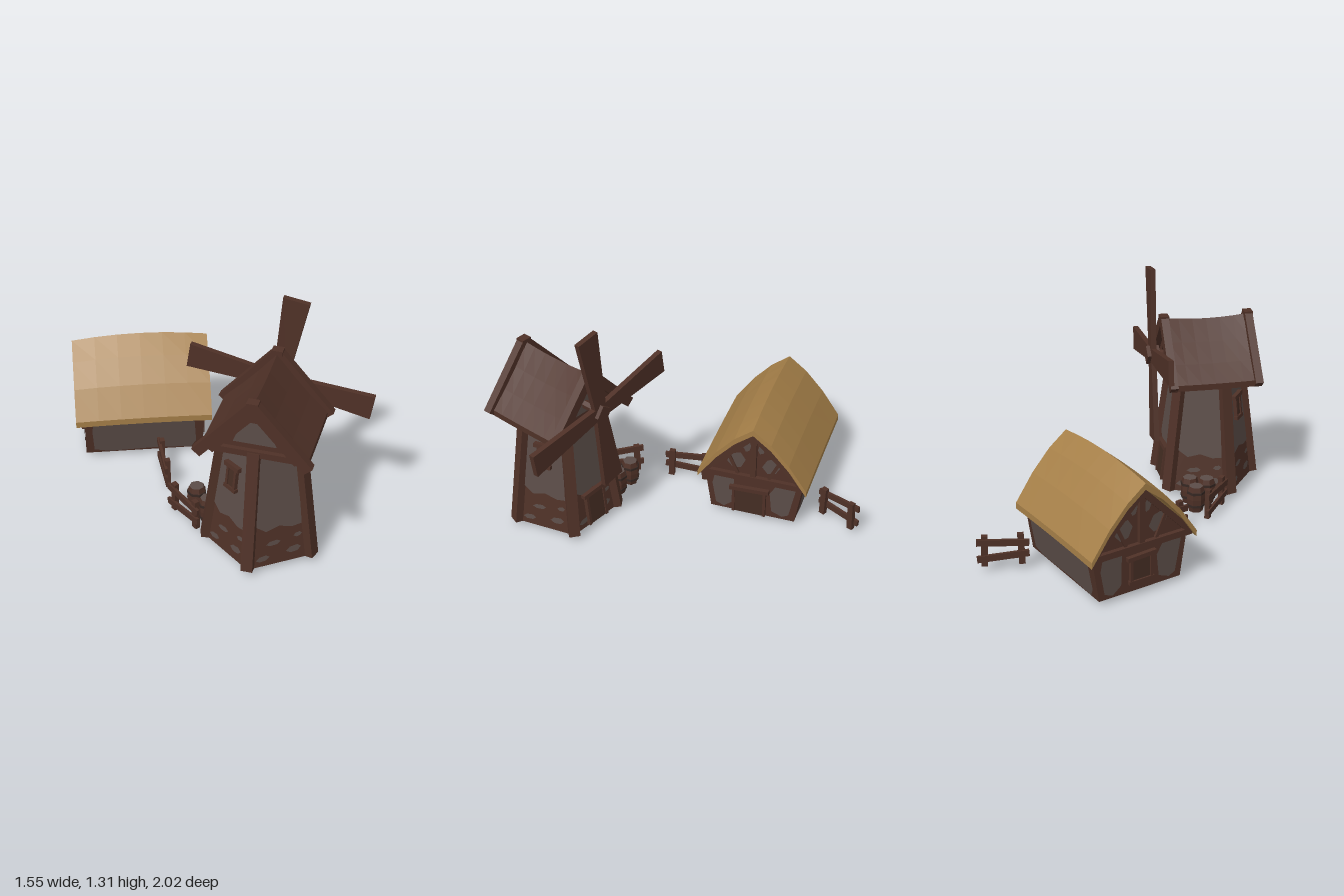
import * as THREE from 'three';

const mat = (name, color, side = THREE.FrontSide) => {
  const m = new THREE.MeshStandardMaterial({ color, flatShading: true, side });
  m.name = name;
  return m;
};

export function createModel() {
  const wood = mat('timber', 0x4f3127);
  const wallWood = mat('wall timber', 0x4f3127, THREE.DoubleSide);
  const plaster = mat('plaster', 0x5b4d48, THREE.DoubleSide);
  const shutter = mat('shutter wood', 0x452d23);
  const thatch = mat('thatch', 0xa57f48);
  const iron = mat('barrel band', 0x362823);

  const add = (parent, name, geo, material, x = 0, y = 0, z = 0) => {
    const m = new THREE.Mesh(geo, material);
    m.name = name;
    m.position.set(x, y, z);
    parent.add(m);
    return m;
  };
  const group = (parent, name, x = 0, y = 0, z = 0, ry = 0) => {
    const g = new THREE.Group();
    g.name = name;
    g.position.set(x, y, z);
    g.rotation.y = ry;
    parent.add(g);
    return g;
  };
  const box = (parent, name, w, h, d, x, y, z, material = wood) =>
    add(parent, name, new THREE.BoxGeometry(w, h, d), material, x, y, z);

  // Beam between two points of an upright plane at depth z
  const beam = (parent, name, a, b, width, depth, z) => {
    const dx = b[0] - a[0], dy = b[1] - a[1];
    const m = box(parent, name, Math.hypot(dx, dy), width, depth, (a[0] + b[0]) / 2, (a[1] + b[1]) / 2, z);
    m.rotation.z = Math.atan2(dy, dx);
    return m;
  };

  // Flat polygon laid on a wall quad; points are (across, up) from 0 to 1
  const plate = (parent, name, [bl, br, tl, tr], pts, material, lift = 0) => {
    const geo = new THREE.ShapeGeometry(new THREE.Shape(pts.map(p => new THREE.Vector2(...p))));
    const n = br.clone().sub(bl).cross(tl.clone().sub(bl)).normalize();
    const pos = geo.attributes.position;
    for (let i = 0; i < pos.count; i++) {
      const u = pos.getX(i), v = pos.getY(i);
      const p = bl.clone().lerp(br, u).lerp(tl.clone().lerp(tr, u), v).addScaledVector(n, lift);
      pos.setXYZ(i, p.x, p.y, p.z);
    }
    geo.computeVertexNormals();
    return add(parent, name, geo, material);
  };
  const blob = (cx, cy, rx, ry) => [[-1, -0.3], [-0.4, -1], [0.5, -0.8], [1, 0.2], [0.5, 1], [-0.5, 0.7]]
    .map(([x, y]) => [cx + x * rx, cy + y * ry]);

  // Gabled roof: a box bent over the ridge, which runs along z
  const gableRoof = (parent, name, material, { half, length, eave, ridge, thick, bulge, endLift }) => {
    const geo = new THREE.BoxGeometry(2, thick, length, 6, 1, 6);
    const pos = geo.attributes.position;
    for (let i = 0; i < pos.count; i++) {
      const x = pos.getX(i), z = pos.getZ(i), s = Math.abs(x), e = (2 * z / length) ** 2;
      const y = ridge + (eave - ridge) * s + bulge * Math.sin(Math.PI * s) + endLift * e * (1 - s * 0.8);
      pos.setXYZ(i, x * half, y + pos.getY(i) - thick / 2, z);
    }
    geo.computeVertexNormals();
    return add(parent, name, geo, material);
  };

  // Framed door or window facing +z, centred on its own origin
  const opening = (parent, name, w, h, sill) => {
    const g = group(parent, name);
    box(g, 'panel', w, h, 0.02, 0, 0, 0, shutter);
    for (const s of [-1, 1]) box(g, 'jamb', 0.016, h, 0.034, s * w / 2, 0, 0);
    box(g, 'lintel', w + 0.05, 0.024, 0.044, 0, h / 2, 0).rotation.z = 0.04;
    if (sill) box(g, 'sill', w + 0.03, 0.02, 0.04, 0, -h / 2, 0);
    return g;
  };

  const model = new THREE.Group();
  model.name = 'windmill farm';

  // ---- Windmill: five-sided tower, sails on local +z ----
  const mill = group(model, 'windmill', 0.185, 0, 0.65, Math.PI - 0.385);
  const STEP = Math.PI * 2 / 5, Y0 = 0.027, Y1 = 0.72, R0 = 0.308, R1 = 0.212;
  add(mill, 'towerWall', new THREE.CylinderGeometry(R1, R0, Y1 - Y0, 5, 1, true, STEP / 2), wallWood, 0, (Y0 + Y1) / 2);
  const ring = (r, y, a) => new THREE.Vector3(Math.sin(a) * r, y, Math.cos(a) * r);
  const lean = Math.atan((R0 - R1) / (Y1 - Y0));
  const faceLean = Math.atan((R0 - R1) * Math.cos(STEP / 2) / (Y1 - Y0));
  const upperPanel = [[0.1, 0.36], [0.28, 0.3], [0.5, 0.33], [0.72, 0.3], [0.88, 0.31],
    [0.9, 0.9], [0.82, 0.97], [0.2, 0.97], [0.12, 0.9]];
  for (let k = 0; k < 5; k++) {
    const a = (k - 0.5) * STEP, b = a + STEP;
    const quad = [ring(R0, Y0, a), ring(R0, Y0, b), ring(R1, Y1, a), ring(R1, Y1, b)];
    plate(mill, 'upperPlaster', quad, upperPanel, plaster, 0.004);
    for (const [x, y, w, h] of [[0.23, 0.07, 0.11, 0.025], [0.72, 0.1, 0.12, 0.03], [0.4, 0.19, 0.12, 0.022], [0.8, 0.22, 0.07, 0.02]])
      plate(mill, 'plasterPatch', quad, blob(x, y, w, h), plaster, 0.004);
    const corner = group(mill, 'cornerPost', 0, 0, 0, a);
    box(corner, 'post', 0.062, 0.695, 0.05, 0, (Y0 + Y1) / 2, (R0 + R1) / 2 - 0.004).rotation.x = -lean;
  }
  const onFace = (k, y, item) => {
    const t = (y - Y0) / (Y1 - Y0);
    const holder = group(mill, item.name + 'Holder', 0, 0, 0, k * STEP);
    item.position.set(0, y, (R0 + (R1 - R0) * t) * Math.cos(STEP / 2) + 0.008);
    item.rotation.x = -faceLean;
    holder.add(item);
  };
  onFace(0, 0.14, opening(mill, 'millDoor', 0.13, 0.2, false));
  for (const k of [2, 4]) onFace(k, 0.505, opening(mill, 'millWindow', 0.06, 0.13, true));

  // Mill roof with gable ends and bargeboards
  gableRoof(mill, 'millRoof', wood, { half: 0.275, length: 0.48, eave: 0.715, ridge: 1.01, thick: 0.035, bulge: -0.012, endLift: 0.015 });
  const tri = new THREE.Shape([[-0.235, 0.7], [0.235, 0.7], [0, 0.975]].map(p => new THREE.Vector2(...p)));
  add(mill, 'gableBlock', new THREE.ExtrudeGeometry(tri, { depth: 0.4, bevelEnabled: false }), wood, 0, 0, -0.2);
  for (const e of [-1, 1]) {
    const end = group(mill, 'gableEnd', 0, 0, 0, e < 0 ? Math.PI : 0);
    const quad = [[-0.2, 0.7], [0.2, 0.7], [-0.2, 1], [0.2, 1]].map(p => new THREE.Vector3(...p, 0.2));
    plate(end, 'gablePlaster', quad, [[0.22, 0.2], [0.78, 0.2], [0.74, 0.34], [0.58, 0.62], [0.42, 0.62], [0.26, 0.34]], plaster, 0.004);
    beam(end, 'tieBeam', [-0.23, 0.712], [0.23, 0.712], 0.035, 0.03, 0.21);
    for (const s of [-1, 1]) {
      beam(end, 'rafter', [s * 0.225, 0.7], [0, 0.955], 0.04, 0.03, 0.215);
      beam(end, 'bargeboard', [s * 0.287, 0.695], [s * 0.008, 1.015], 0.056, 0.045, 0.245);
    }
    box(end, 'ridgeCap', 0.06, 0.05, 0.05, 0, 1.018, 0.245);
  }

  // Sails
  const sails = group(mill, 'sails', 0, 0.81, 0.31);
  sails.rotation.z = 0.15;
  add(sails, 'axle', new THREE.CylinderGeometry(0.025, 0.025, 0.2, 6).rotateX(Math.PI / 2), wood, 0, 0, -0.08);
  box(sails, 'hub', 0.075, 0.075, 0.075, 0, 0, 0).rotation.z = Math.PI / 4;
  const sailShape = new THREE.Shape([[-0.038, 0], [0.038, 0], [0.07, 0.5], [-0.07, 0.5]].map(p => new THREE.Vector2(...p)));
  for (let i = 0; i < 4; i++) {
    const blade = add(sails, 'sail', new THREE.ExtrudeGeometry(sailShape, { depth: 0.03, bevelEnabled: false }), wood, 0, 0, -0.015);
    blade.rotation.z = i * Math.PI / 2;
  }

  // ---- Cottage: ridge on local z, door on local +z ----
  const cottage = group(model, 'cottage', -0.395, 0, -0.4, Math.PI / 2);
  const B = 0.245, T = 0.288, D = 0.338, TOP = 0.305;
  const v = (x, y, z) => new THREE.Vector3(x, y, z);
  for (const s of [-1, 1]) {
    // Long wall
    const side = group(cottage, 'longWall', 0, 0, 0, s > 0 ? 0 : Math.PI);
    const long = [v(B, Y0, D), v(B, Y0, -D), v(T, TOP, D), v(T, TOP, -D)];
    plate(side, 'wall', long, [[0, 0], [1, 0], [1, 1], [0, 1]], wallWood);
    plate(side, 'wallPlaster', long, [[0.07, 0.1], [0.2, 0.03], [0.6, 0.06], [0.9, 0.03], [0.94, 0.2], [0.92, 0.95], [0.08, 0.97], [0.06, 0.6]], plaster, 0.004);
    // Gable wall with timber framing
    const end = group(cottage, 'gableWall', 0, 0, 0, s > 0 ? 0 : Math.PI);
    const quad = [v(-B, Y0, D), v(B, Y0, D), v(-T, TOP, D), v(T, TOP, D)];
    plate(end, 'wall', quad, [[0, 0], [1, 0], [1, 1], [0.5, 2.1], [0, 1]], wallWood);
    plate(end, 'plasterLeft', quad, [[0.07, 0.12], [0.16, 0.05], [0.27, 0.2], [0.29, 0.6], [0.3, 0.82], [0.1, 0.84], [0.06, 0.6]], plaster, 0.004);
    plate(end, 'plasterRight', quad, [[0.72, 0.16], [0.85, 0.07], [0.92, 0.14], [0.94, 0.8], [0.74, 0.84], [0.68, 0.6]], plaster, 0.004);
    for (const m of [-1, 1]) {
      plate(end, 'gablePlaster', quad, blob(0.5 + m * 0.17, 1.3, 0.09, 0.2), plaster, 0.004);
      plate(end, 'gablePlasterTop', quad, blob(0.5 + m * 0.065, 1.68, 0.035, 0.13), plaster, 0.004);
      beam(end, 'rafter', [m * 0.29, 0.29], [0, 0.585], 0.035, 0.03, D + 0.01);
      beam(end, 'brace', [m * 0.09, 0.3], [m * 0.15, 0.43], 0.018, 0.014, D + 0.006);
    }
    beam(end, 'tieBeam', [-0.3, 0.283], [0.3, 0.283], 0.035, 0.03, D + 0.01);
    beam(end, 'kingPost', [0, 0.29], [0, 0.59], 0.032, 0.025, D + 0.008);
    if (s > 0) opening(end, 'cottageDoor', 0.18, 0.17, false).position.set(-0.02, 0.117, D + 0.004);
    else opening(end, 'cottageWindow', 0.12, 0.14, true).position.set(0, 0.155, D + 0.002);
  }
  gableRoof(cottage, 'thatchRoof', thatch, { half: 0.314, length: 0.77, eave: 0.298, ridge: 0.67, thick: 0.036, bulge: 0.04, endLift: -0.028 });

  // ---- Fences ----
  const fence = (x1, z1, x2, z2, y) => {
    const g = group(model, 'fence', (x1 + x2) / 2, y, (z1 + z2) / 2, Math.atan2(z1 - z2, x2 - x1));
    const len = Math.hypot(x2 - x1, z2 - z1);
    for (const s of [-1, 1]) box(g, 'fencePost', 0.034, 0.175, 0.028, s * len * 0.35, 0.0875, 0).rotation.z = s * 0.03;
    [0.055, 0.135].forEach((h, i) => {
      box(g, 'fenceRail', len, 0.036, 0.016, 0, h, 0.014).rotation.z = i ? -0.06 : 0.08;
    });
  };
  fence(-0.085, -0.995, -0.2, -0.745, 0.032);
  fence(-0.305, -0.08, -0.28, 0.2, 0.003);
  fence(-0.28, 0.335, -0.14, 0.57, 0.003);

  // ---- Barrels ----
  const staves = [[0.04, 0], [0.05, 0.04], [0.053, 0.08], [0.05, 0.12], [0.042, 0.155]].map(p => new THREE.Vector2(...p));
  for (const [x, z, turn] of [[-0.14, 0.37, 0.2], [-0.03, 0.405, 0.5], [-0.09, 0.48, 0]]) {
    const g = group(model, 'barrel', x, 0, z, turn);
    add(g, 'staves', new THREE.LatheGeometry(staves, 7), wood);
    for (const y of [0.04, 0.118]) add(g, 'band', new THREE.CylinderGeometry(0.054, 0.054, 0.014, 7), iron, 0, y, 0);
    add(g, 'lid', new THREE.CylinderGeometry(0.041, 0.041, 0.006, 7), plaster, 0, 0.15, 0);
    add(g, 'base', new THREE.CylinderGeometry(0.04, 0.04, 0.006, 7), wood, 0, 0.003, 0);
  }
  return model;
}
